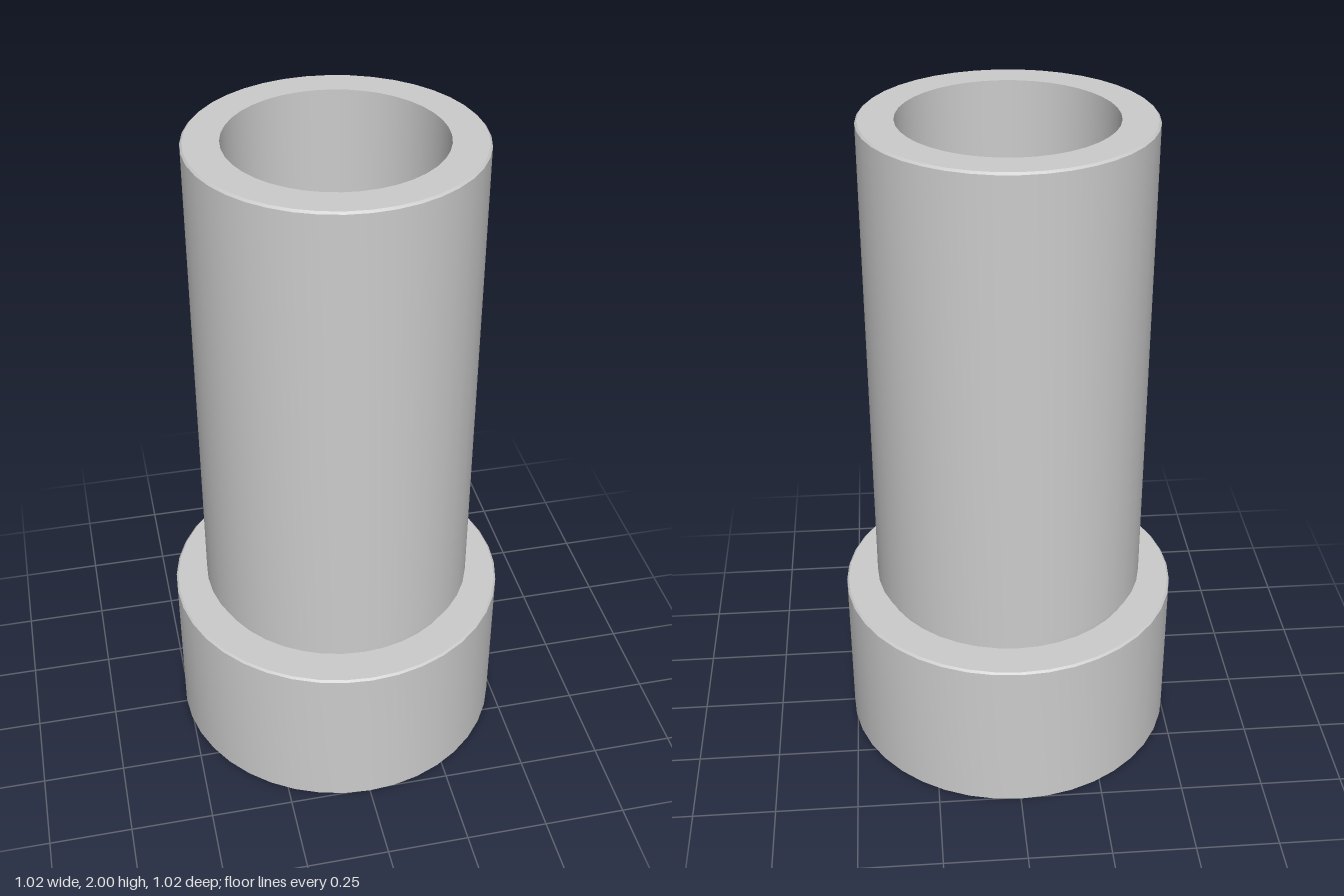
import * as THREE from 'three';
import { toCreasedNormals } from 'three/addons/utils/BufferGeometryUtils.js';

const SEGMENTS = 40;
const BORE = 0.307, NECK = 0.395, SLEEVE = 0.412, FLANGE = 0.511;
const FLANGE_TOP = 0.5, SLEEVE_BOTTOM = 0.53, TOP = 2, EDGE = 0.006;

export function createModel() {
  const group = new THREE.Group();
  group.name = 'flangedBushing';
  const material = new THREE.MeshStandardMaterial({ color: 0xcccccc });

  // Revolves a profile of [radius, height] pairs, keeping its corners sharp
  function addTurned(name, profile) {
    const points = profile.map(([r, y]) => new THREE.Vector2(r, y));
    const geometry = toCreasedNormals(new THREE.LatheGeometry(points, SEGMENTS), 0.5);
    const mesh = new THREE.Mesh(geometry, material);
    mesh.name = name;
    group.add(mesh);
  }

  // Wide collar with lightly broken edges
  addTurned('flange', [
    [BORE, 0], [FLANGE - EDGE, 0], [FLANGE, EDGE],
    [FLANGE, FLANGE_TOP - EDGE], [FLANGE - EDGE, FLANGE_TOP], [NECK, FLANGE_TOP],
  ]);

  // Shallow undercut where the sleeve meets the flange
  addTurned('reliefGroove', [
    [NECK, FLANGE_TOP], [NECK, SLEEVE_BOTTOM - 0.01], [SLEEVE, SLEEVE_BOTTOM],
  ]);

  // Long tube wall and its top rim
  addTurned('sleeve', [
    [SLEEVE, SLEEVE_BOTTOM], [SLEEVE, TOP - EDGE], [SLEEVE - EDGE, TOP], [BORE, TOP],
  ]);

  // Through hole, facing inward
  addTurned('bore', [[BORE, TOP], [BORE, 0]]);

  return group;
}
